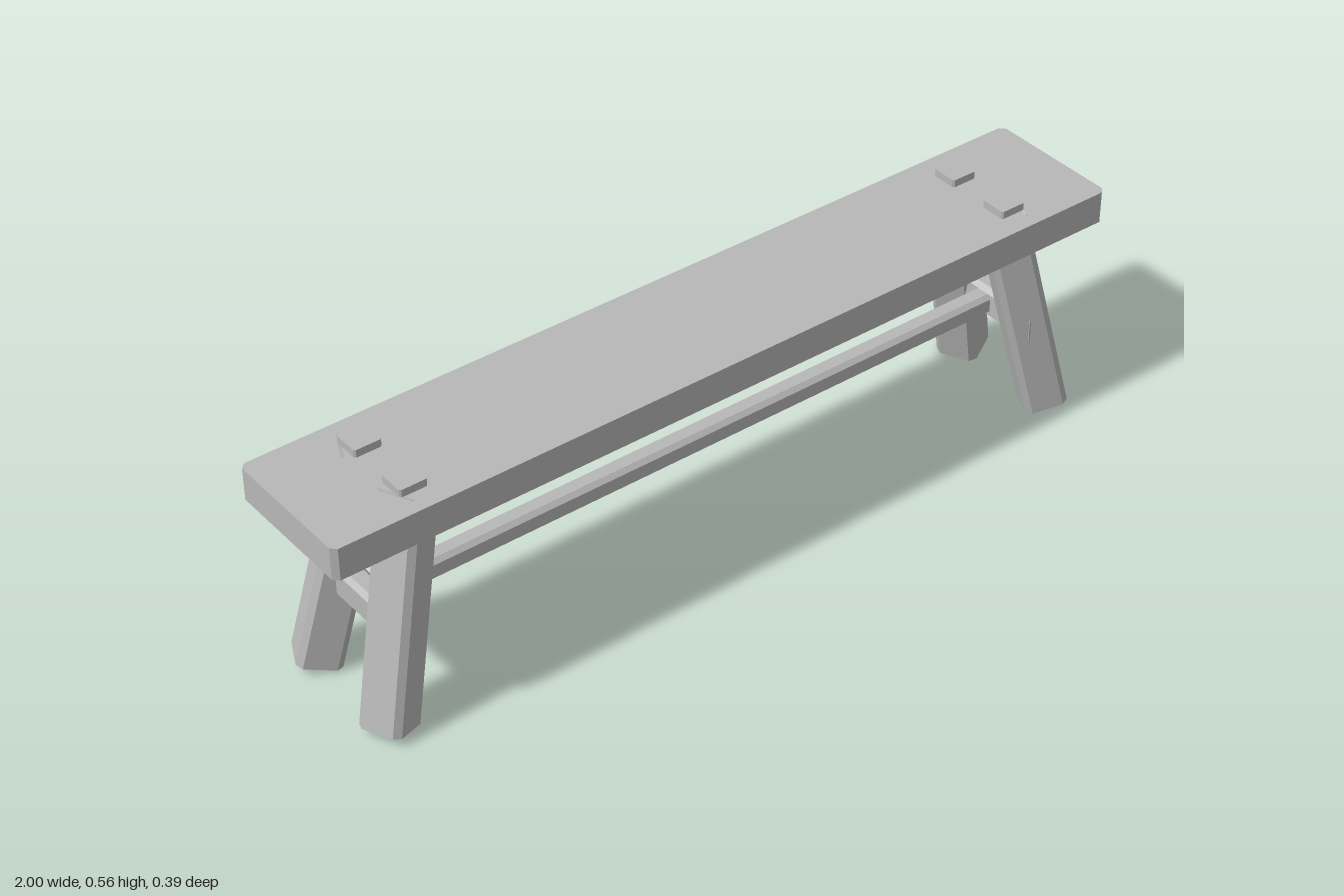
import * as THREE from 'three';

const wood = new THREE.MeshStandardMaterial({ color: 0xb8b8b8 });
wood.name = 'plainGrey';

// Beam along z: w by h section with corners cut by c, centred on the origin
function beam(w, h, c, length) {
  const x = w / 2, y = h / 2;
  const section = new THREE.Shape([
    [x, -y + c], [x, y - c], [x - c, y], [-x + c, y],
    [-x, y - c], [-x, -y + c], [-x + c, -y], [x - c, -y],
  ].map(([a, b]) => new THREE.Vector2(a, b)));
  return new THREE.ExtrudeGeometry(section, { depth: length, bevelEnabled: false })
    .translate(0, 0, -length / 2);
}

export function createModel() {
  const bench = new THREE.Group();
  bench.name = 'bench';
  const add = (name, geometry, x, y, z) => {
    const mesh = new THREE.Mesh(geometry, wood);
    mesh.name = name;
    mesh.position.set(x, y, z);
    bench.add(mesh);
  };

  // Seat plank with clipped vertical corners
  add('seat', beam(2, 0.333, 0.012, 0.077).rotateX(-Math.PI / 2), 0, 0.4995, 0);

  // Splayed legs and the tenon ends showing on the seat
  const splay = THREE.MathUtils.degToRad(13.8);
  const turn = THREE.MathUtils.degToRad(25.5);
  for (const sx of [-1, 1]) {
    for (const sz of [-1, 1]) {
      const side = (sz > 0 ? 'front' : 'back') + (sx > 0 ? 'Left' : 'Right');
      const heading = Math.atan2(sz * Math.sin(turn), sx * Math.cos(turn));
      const leg = beam(0.099, 0.099, 0.0135, 0.531)
        .rotateX(-Math.PI / 2).rotateZ(splay).rotateY(-heading);
      add(side + 'Leg', leg, sx * 0.828, 0.27, sz * 0.106);
      add(side + 'Tenon', beam(0.065, 0.065, 0.004, 0.04).rotateX(-Math.PI / 2),
        sx * 0.778, 0.536, sz * 0.079);
    }
    // Cross bar joining each pair of legs
    add(sx > 0 ? 'leftCrossBar' : 'rightCrossBar', beam(0.054, 0.076, 0.011, 0.308),
      sx * 0.837, 0.235, 0);
  }

  // Long stretcher between the cross bars
  add('stretcher', beam(0.05, 0.052, 0.01, 1.64).rotateY(Math.PI / 2), 0, 0.236, 0);

  return bench;
}
